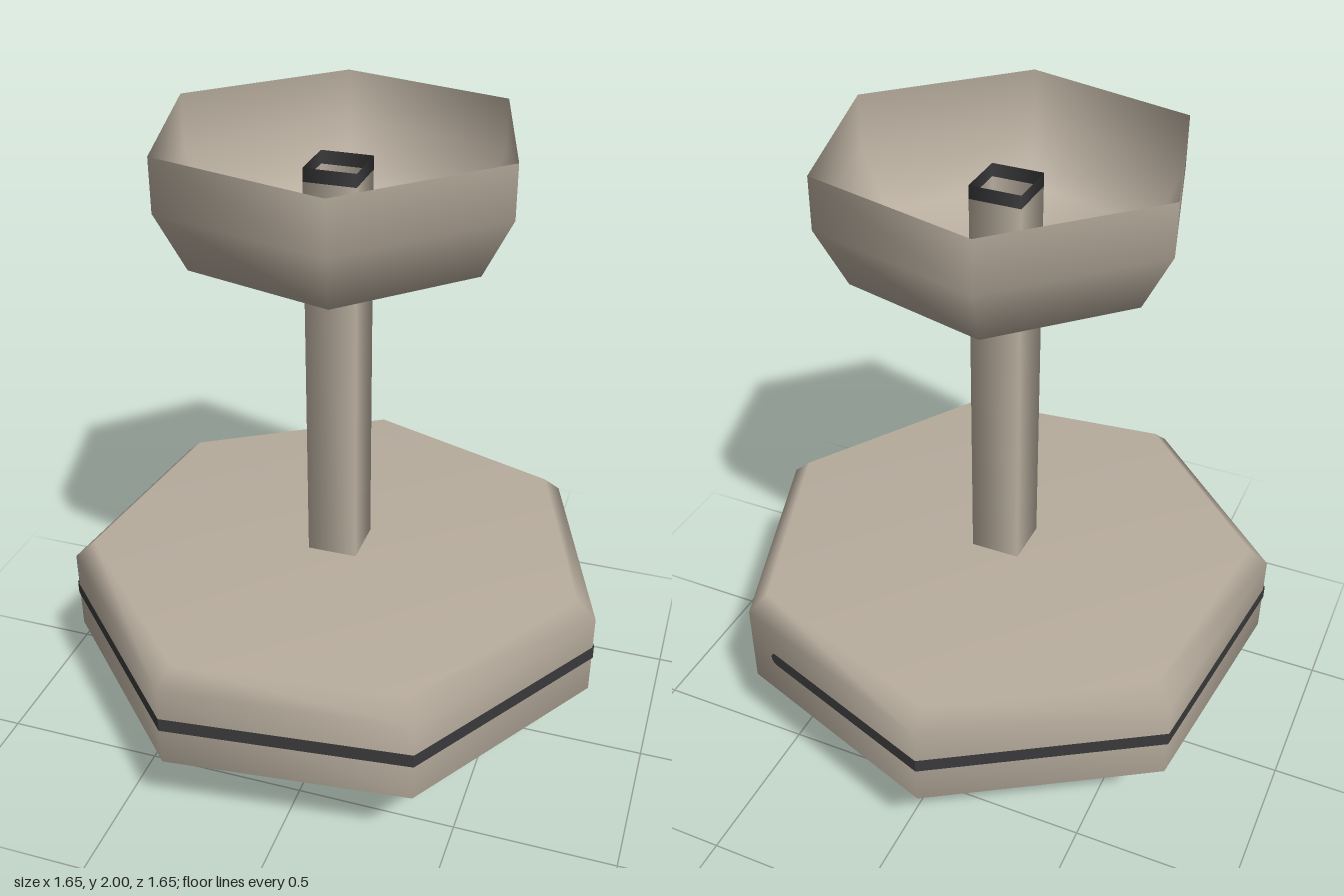
import * as THREE from 'three';

const START = Math.PI * 0.75; // every part has a corner pointing to +x -z

export function createModel() {
  const group = new THREE.Group();
  const stone = new THREE.MeshStandardMaterial({ color: 0xb8ad9e, side: THREE.DoubleSide });
  stone.name = 'warm grey';
  const dark = new THREE.MeshStandardMaterial({ color: 0x3a3a3c, side: THREE.DoubleSide });
  dark.name = 'charcoal';

  const add = (name, geometry, material) => {
    const mesh = new THREE.Mesh(geometry, material);
    mesh.name = name;
    group.add(mesh);
    return mesh;
  };
  // Faceted turned part from a [radius, height] profile
  const turned = (name, sides, profile, material) => add(name,
    new THREE.LatheGeometry(profile.map(p => new THREE.Vector2(...p)), sides, START), material);

  // Tapered foot, chamfered disc, open stem and open bowl
  turned('foot', 6, [[0, 0], [0.313, 0], [0.313, 0.002], [0.365, 0.27]], stone);
  turned('disc', 7, [[0, 0.27], [0.785, 0.27], [0.847, 0.325], [0.847, 0.59], [0.785, 0.645], [0, 0.645]], stone);
  turned('stem', 4, [[0.11, 0.64], [0.11, 1.86]], stone);
  turned('stemCollar', 4, [[0.11, 1.86], [0.11, 1.9]], dark);
  turned('bowl', 6, [[0, 1.595], [0.25, 1.595], [0.457, 1.667], [0.547, 1.845], [0.547, 2]], stone);

  // Round dark plate under the disc
  const plate = add('undersidePlate', new THREE.CircleGeometry(0.6, 48), dark);
  plate.rotation.x = Math.PI / 2;
  plate.position.y = 0.266;

  // Dark stripe round the disc, left open at one corner
  const corners = Array.from({ length: 8 }, (_, i) => {
    const a = START + i * Math.PI * 2 / 7;
    return new THREE.Vector3(Math.sin(a), 0, Math.cos(a)).multiplyScalar(0.851);
  });
  const gap = 0.12, y = 0.468, half = 0.022;
  const stripe = new THREE.Group();
  stripe.name = 'stripe';
  group.add(stripe);
  for (let i = 0; i < 7; i++) {
    const a = corners[i].clone(), b = corners[i + 1].clone();
    const dir = b.clone().sub(a).normalize();
    if (i === 0) a.addScaledVector(dir, gap);
    if (i === 6) b.addScaledVector(dir, -gap);
    const turn = Math.atan2(-dir.z, dir.x);
    const piece = (name, geometry, at) => {
      const mesh = add(name, geometry, dark);
      mesh.position.set(at.x, y, at.z);
      mesh.rotation.y = turn;
      stripe.add(mesh);
    };
    piece('stripeSide', new THREE.PlaneGeometry(a.distanceTo(b), half * 2), a.clone().lerp(b, 0.5));
    // Rounded ends
    if (i === 0) piece('stripeEnd', new THREE.CircleGeometry(half, 12, Math.PI / 2, Math.PI), a);
    if (i === 6) piece('stripeEnd', new THREE.CircleGeometry(half, 12, -Math.PI / 2, Math.PI), b);
  }

  group.children.forEach(part => {
    part.position.x -= 0.022;
    part.position.z += 0.022;
  });
  return group;
}
